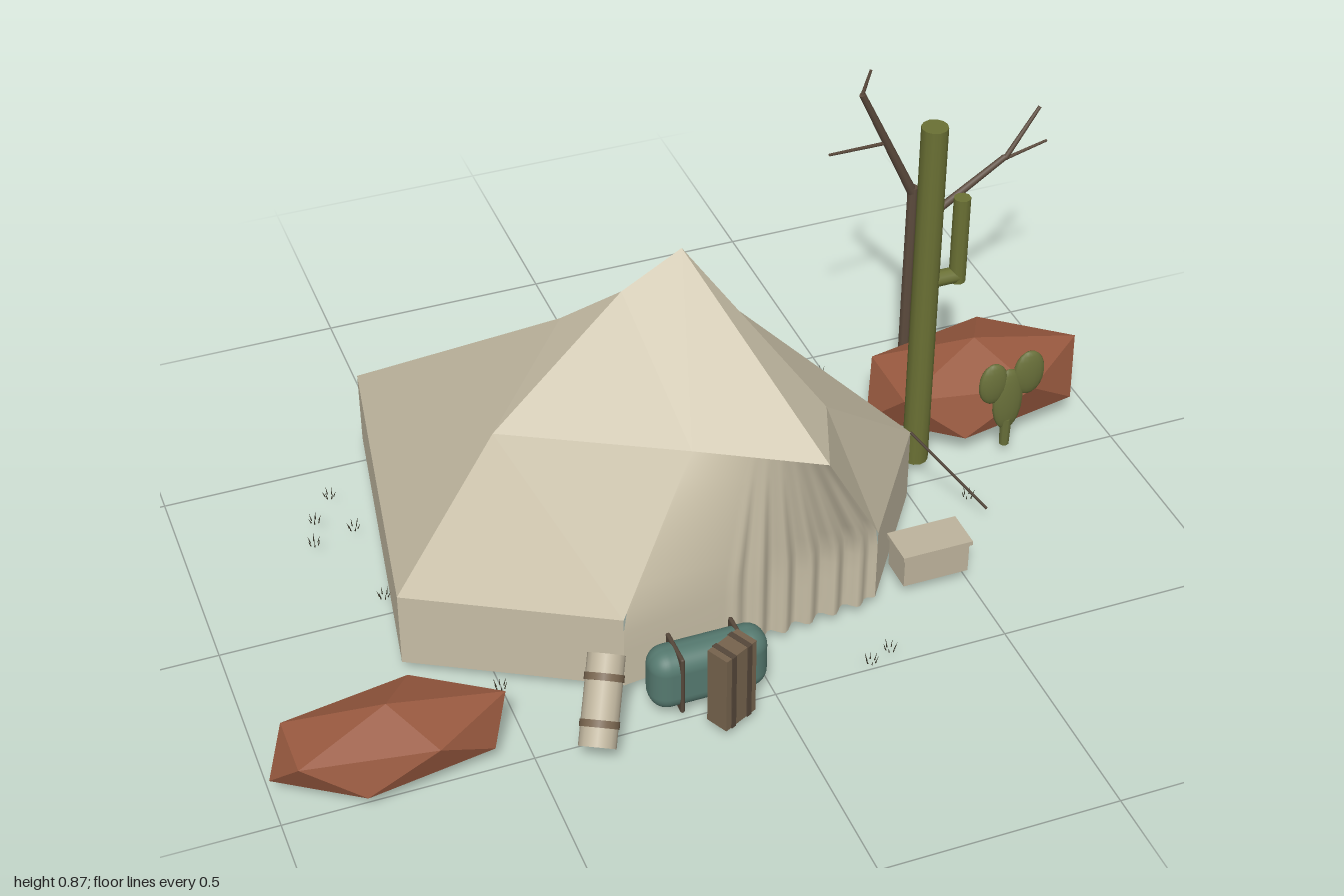
import * as THREE from 'three';
import { ConvexGeometry } from 'three/addons/geometries/ConvexGeometry.js';
import { RoundedBoxGeometry } from 'three/addons/geometries/RoundedBoxGeometry.js';

const V = (x, y, z) => new THREE.Vector3(x, y, z);

export function createModel() {
  const model = new THREE.Group();
  const mat = (name, color, extra = {}) => {
    const m = new THREE.MeshStandardMaterial({ color, ...extra });
    m.name = name;
    return m;
  };
  const canvas = mat('canvas', 0xc6bda5, { side: THREE.DoubleSide });
  const cloth = mat('pale cloth', 0xbdb39c);
  const rockRed = mat('red rock', 0x98593f);
  const cactusGreen = mat('cactus green', 0x6a7034);
  const padGreen = mat('pad green', 0x69703a);
  const deadWood = mat('dead wood', 0x5c4b3d);
  const teal = mat('teal fabric', 0x55796f);
  const leather = mat('brown leather', 0x76634d);
  const strapBrown = mat('dark strap', 0x55473a);
  const dryGrass = mat('dark grass', 0x3d3a2c);

  const add = (name, geo, material, parent = model) => {
    const m = new THREE.Mesh(geo, material);
    m.name = name;
    parent.add(m);
    return m;
  };
  const group = (name) => {
    const g = new THREE.Group();
    g.name = name;
    model.add(g);
    return g;
  };
  // tapered rod between two points
  const rod = (name, a, b, r0, r1, material, parent, sides = 8) => {
    const m = add(name, new THREE.CylinderGeometry(r1, r0, a.distanceTo(b), sides), material, parent);
    m.position.copy(a).lerp(b, 0.5);
    m.quaternion.setFromUnitVectors(V(0, 1, 0), b.clone().sub(a).normalize());
    return m;
  };

  // ---- tent: roof points, eave points and their ground points
  const tent = group('tent');
  const P = V(-0.02, 0.77, 0.03), N = V(-0.15, 0.71, 0.045), S = V(-0.28, 0.69, 0.06);
  const A = V(-0.44, 0.49, 0.11), M = V(-0.1, 0.49, 0.297), T = V(0.13, 0.49, 0.43);
  const C = V(0.195, 0.49, 0.26), B = V(0.12, 0.49, -0.2);
  const BL = V(-0.55, 0.2, -0.54), BR = V(0.25, 0.2, -0.55), R = V(0.48, 0.2, 0.06);
  const FL = V(-0.67, 0.2, 0.18), F = V(-0.28, 0.2, 0.4), G = V(0.285, 0.2, 0.335);
  const panel = (name, ...tris) => {
    const geo = new THREE.BufferGeometry().setFromPoints(tris.flat());
    geo.computeVertexNormals();
    add(name, geo, canvas, tent);
  };
  panel('upperRoofBack', [P, B, N], [N, B, S]);
  panel('upperRoofRight', [P, C, B]);
  panel('awning', [P, T, C], [P, M, T]);
  panel('upperRoofFront', [P, N, M], [N, A, M], [N, S, A]);
  panel('backRoof', [S, B, BR], [S, BR, BL]);
  panel('sideRoof', [S, BL, A], [A, BL, FL]);
  panel('frontRoof', [A, FL, F], [A, F, M]);
  panel('farSideRoof', [B, R, BR], [B, C, R]);
  panel('doorSideRoof', [C, T, G], [C, G, R]);

  // low walls under the eaves
  const ground = (p) => V(p.x, 0.03, p.z);
  [[G, R], [R, BR], [BR, BL], [BL, FL], [FL, F]].forEach(([a, b]) =>
    panel('lowWall', [a, ground(a), ground(b)], [a, ground(b), b]));

  // door curtain, gathered into folds on one side
  const curtain = new THREE.PlaneGeometry(1, 1, 72, 10);
  const cp = curtain.attributes.position;
  for (let i = 0; i < cp.count; i++) {
    const u = cp.getX(i) + 0.5, y = 0.49 - (0.5 - cp.getY(i)) * 0.46;
    const k = Math.min(1, (0.49 - y) / 0.29);
    const p = M.clone().lerp(T, u).lerp(F.clone().lerp(G, u), k);
    const gather = THREE.MathUtils.smoothstep(u, 0.38, 0.5) * (1 - THREE.MathUtils.smoothstep(u, 0.95, 1));
    cp.setXYZ(i, p.x, y, p.z + 0.011 * k * gather * Math.sin(u * Math.PI * 20));
  }
  curtain.computeVertexNormals();
  add('doorCurtain', curtain, canvas, tent);
  rod('guyRope', R, V(0.62, 0.03, 0.16), 0.003, 0.003, strapBrown, tent, 5);

  // ---- rocks: twelve-point faceted boulders
  const rock = (x, z, rx, ry, rz) => {
    const pts = [V(0, 2 * ry, 0), V(0, 0, 0)];
    for (let i = 0; i < 10; i++) {
      const a = (i * Math.PI) / 5;
      pts.push(V(rx * Math.cos(a), ry * (i % 2 ? 0.553 : 1.447), rz * Math.sin(a)));
    }
    add('rock', new ConvexGeometry(pts), rockRed).position.set(x, 0, z);
  };
  rock(-0.765, 0.425, 0.235, 0.083, 0.116);
  rock(0.74, -0.18, 0.25, 0.107, 0.148);

  // ---- tall cactus with one arm
  const cactus = group('tallCactus');
  rod('cactusTrunk', V(0.55, 0.03, -0.053), V(0.55, 0.87, -0.053), 0.028, 0.028, cactusGreen, cactus, 12);
  rod('cactusElbow', V(0.55, 0.495, -0.053), V(0.625, 0.495, -0.053), 0.018, 0.018, cactusGreen, cactus, 10);
  rod('cactusArm', V(0.622, 0.48, -0.053), V(0.622, 0.685, -0.053), 0.018, 0.018, cactusGreen, cactus, 10);

  // ---- pad cactus
  const pads = group('padCactus');
  [[0.752, 0.15, 0.036, 0.08], [0.715, 0.2, 0.034, 0.052], [0.798, 0.21, 0.037, 0.056]].forEach(([x, y, rx, ry]) => {
    const pad = add('cactusPad', new THREE.SphereGeometry(1, 14, 10), padGreen, pads);
    pad.position.set(x, y, -0.03);
    pad.scale.set(rx, ry, 0.014);
  });
  rod('padStem', V(0.752, 0.03, -0.03), V(0.752, 0.1, -0.03), 0.011, 0.013, padGreen, pads);

  // ---- dead tree
  const tree = group('deadTree');
  [
    [V(0.645, 0.03, -0.33), V(0.645, 0.535, -0.33), 0.014, 0.012],
    [V(0.645, 0.52, -0.33), V(0.505, 0.81, -0.305), 0.011, 0.007],
    [V(0.505, 0.81, -0.305), V(0.522, 0.865, -0.305), 0.004, 0.003],
    [V(0.57, 0.67, -0.318), V(0.42, 0.703, -0.27), 0.004, 0.003],
    [V(0.645, 0.415, -0.335), V(0.885, 0.53, -0.375), 0.01, 0.007],
    [V(0.885, 0.525, -0.375), V(0.97, 0.63, -0.392), 0.006, 0.004],
    [V(0.885, 0.525, -0.375), V(0.995, 0.536, -0.395), 0.004, 0.003],
  ].forEach(([a, b, r0, r1], i) => rod(i ? 'branch' : 'treeTrunk', a, b, r0, r1, deadWood, tree));

  // ---- bedroll leaning on its end, with straps
  const roll = group('bedroll');
  const r0 = V(-0.398, 0.062, 0.575), r1 = V(-0.338, 0.188, 0.465);
  rod('roll', r0, r1, 0.037, 0.037, cloth, roll, 16);
  [0.25, 0.75].forEach((t) => rod('rollStrap', r0.clone().lerp(r1, t - 0.04), r0.clone().lerp(r1, t + 0.04),
    0.039, 0.039, leather, roll, 16));

  // ---- duffel bag with straps
  const duffel = group('duffelBag');
  add('bag', new RoundedBoxGeometry(0.245, 0.135, 0.083, 5, 0.038), teal, duffel).position.set(-0.135, 0.098, 0.47);
  [-0.2, -0.07].forEach((x) =>
    add('bagStrap', new RoundedBoxGeometry(0.009, 0.139, 0.087, 4, 0.004), strapBrown, duffel).position.set(x, 0.098, 0.47));

  // ---- upright wooden case with straps
  const box = group('uprightCase');
  box.position.set(-0.114, 0.12, 0.55);
  box.rotation.y = 0.46;
  add('caseBody', new THREE.BoxGeometry(0.084, 0.18, 0.05), leather, box);
  [-0.022, 0.022].forEach((x) =>
    add('caseStrap', new THREE.BoxGeometry(0.012, 0.182, 0.054), strapBrown, box).position.x = x);

  // ---- pale crate with lid
  const crate = group('crate');
  add('crateBody', new THREE.BoxGeometry(0.144, 0.07, 0.076), cloth, crate).position.set(0.425, 0.065, 0.288);
  add('crateLid', new THREE.BoxGeometry(0.154, 0.01, 0.086), cloth, crate).position.set(0.425, 0.105, 0.288);

  // ---- grass tufts
  const grass = group('grass');
  [[0.06, -0.59], [0.1, -0.58], [0.47, -0.4], [-0.67, -0.37], [-0.72, -0.3], [-0.65, -0.25], [-0.74, -0.23],
    [-0.65, -0.02], [-0.51, 0.32], [0.2, 0.51], [0.25, 0.49], [0.6, 0.11]].forEach(([x, z]) => {
    for (let i = 0; i < 6; i++) {
      const a = i * 1.047 + x * 9;
      const c = Math.cos(a), s = Math.sin(a);
      rod('grassBlade', V(x + c * 0.009, 0.03, z + s * 0.009),
        V(x + c * 0.014, 0.043 + (i % 3) * 0.003, z + s * 0.014), 0.0016, 0.0003, dryGrass, grass, 3);
    }
  });
  return model;
}
